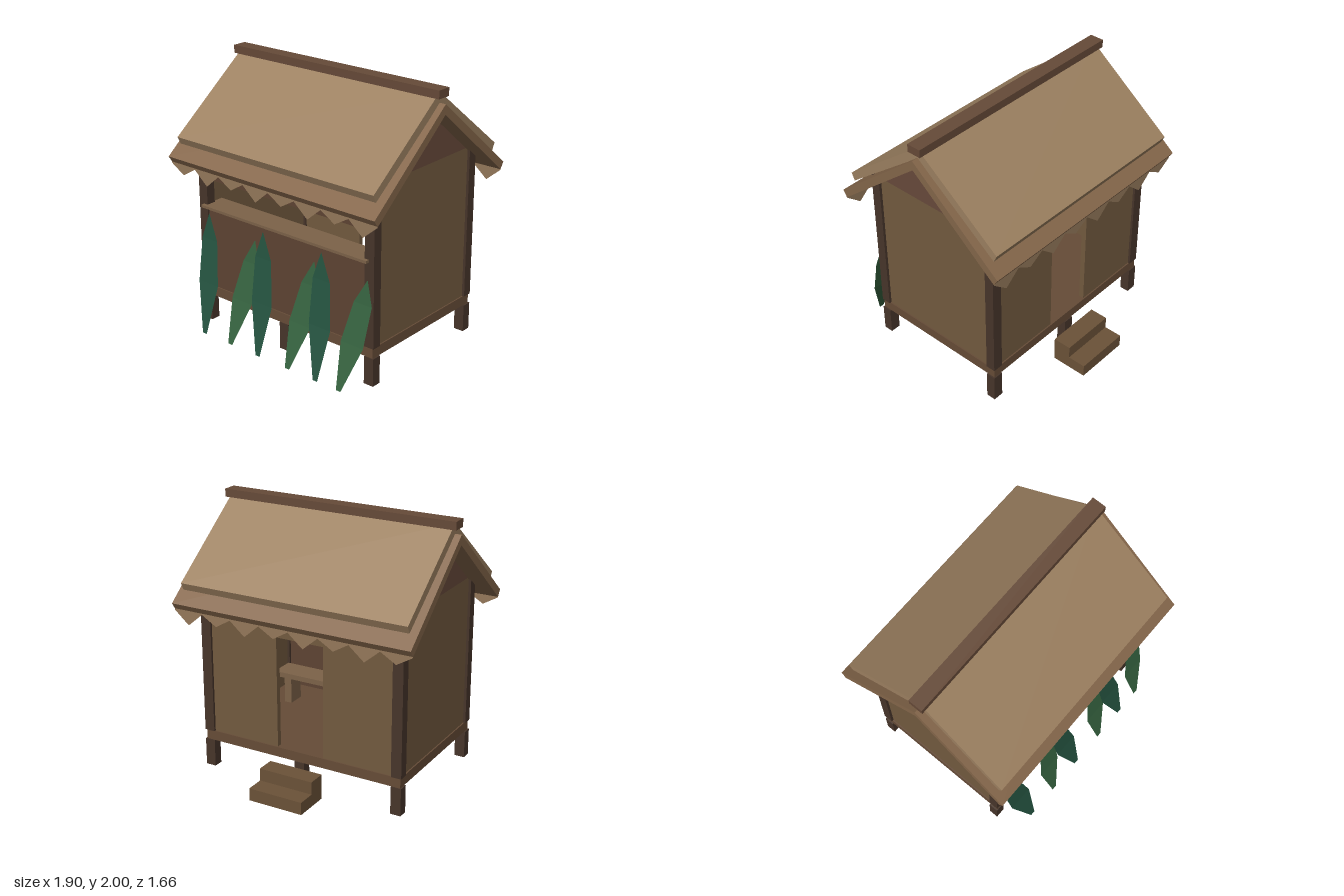
import * as THREE from 'three';

const ZC = 0.067; // centre line of the hut

const mat = (color, extra = {}) => new THREE.MeshStandardMaterial({ color, flatShading: true, ...extra });
const M = {
  thatch: mat(0x9c8060),
  eaves: mat(0x84664a),
  fringe: mat(0x94785a, { side: THREE.DoubleSide }),
  ridge: mat(0x664a38),
  post: mat(0x47352a),
  front: mat(0x5e4433),
  wall: mat(0x725a3f),
  gable: mat(0x684a3b),
  floor: mat(0x664c37),
  plank: mat(0x7c6248),
  step: mat(0x6b5238),
  reedDark: mat(0x24523f, { side: THREE.DoubleSide }),
  reedLight: mat(0x35623f, { side: THREE.DoubleSide }),
};

export function createModel() {
  const hut = new THREE.Group();
  hut.name = 'hut';

  const add = (name, geometry, material) => {
    const mesh = new THREE.Mesh(geometry, material);
    mesh.name = name;
    hut.add(mesh);
    return mesh;
  };
  // Box given by its limits on each axis
  const box = (name, material, [x0, x1], [y0, y1], [z0, z1]) =>
    add(name, new THREE.BoxGeometry(x1 - x0, y1 - y0, z1 - z0), material)
      .position.set((x0 + x1) / 2, (y0 + y1) / 2, (z0 + z1) / 2);
  // Profile in (z, y), measured from the centre line, extruded along x
  const across = (name, material, points, width, x = 0) => {
    const shape = new THREE.Shape(points.map(([z, y]) => new THREE.Vector2(z, y)));
    const g = new THREE.ExtrudeGeometry(shape, { depth: width, bevelEnabled: false });
    g.translate(0, 0, -width / 2).rotateY(-Math.PI / 2);
    add(name, g, material).position.set(x, 0, ZC);
  };

  // Floor, piles and corner posts
  box('floor', M.floor, [-0.81, 0.81], [0.21, 0.285], [-0.495, 0.63]);
  for (const z of [[-0.503, -0.43], [0.562, 0.635]]) {
    for (const x of [-0.78, 0, 0.78]) box('pile', M.post, [x - 0.04, x + 0.04], [0, 0.21], z);
    for (const x of [-0.78, 0.78]) box('cornerPost', M.post, [x - 0.04, x + 0.04], [0.285, 1.46], z);
  }

  // Front wall with viewing slot
  box('frontWall', M.front, [-0.74, 0.74], [0.285, 0.92], [0.58, 0.62]);
  box('frontHeader', M.front, [-0.74, 0.74], [1.13, 1.44], [0.58, 0.62]);
  box('windowSill', M.plank, [-0.775, 0.775], [0.915, 0.935], [0.47, 0.665]);

  // Back wall with doorway
  for (const s of [-1, 1]) {
    const x = [0.19 * s, 0.74 * s].sort((a, b) => a - b);
    box('backWall', M.wall, x, [0.285, 1.44], [-0.485, -0.445]);
  }
  box('doorLintel', M.wall, [-0.19, 0.19], [1.13, 1.44], [-0.485, -0.445]);

  // Side walls and gables
  for (const x of [-0.78, 0.78]) {
    box('sideWall', M.wall, [x - 0.02, x + 0.02], [0.285, 1.44], [-0.43, 0.562]);
    across('gable', M.gable, [[-0.485, 1.44], [0.485, 1.44], [0, 1.83]], 0.04, x);
  }

  // Bench inside
  box('benchSeat', M.plank, [-0.65, 0.65], [0.5, 0.54], [0.2, 0.4]);
  for (const x of [-0.55, 0.55]) box('benchLeg', M.plank, [x - 0.03, x + 0.03], [0.285, 0.5], [0.23, 0.37]);

  // Two roof layers and ridge beam
  const roof = (name, material, width, apex, [z1, y1], [z2, y2], under) => across(name, material,
    [[0, apex], [-z1, y1], [-z2, y2], [0, under], [z2, y2], [z1, y1]], width);
  roof('lowerRoof', M.eaves, 1.9, 1.9, [0.733, 1.305], [0.7, 1.255], 1.827);
  roof('upperRoof', M.thatch, 1.8, 1.975, [0.683, 1.45], [0.657, 1.395], 1.895);
  box('ridgeBeam', M.ridge, [-0.933, 0.933], [1.94, 2], [0.01, 0.12]);

  // Ragged fringe under both eaves
  const fringe = new THREE.Shape();
  const tooth = 1.9 / 8;
  fringe.moveTo(-0.95, 1.27);
  for (let i = 0; i < 8; i++) {
    const x = -0.95 + i * tooth;
    fringe.lineTo(x, 1.25);
    fringe.lineTo(x + tooth / 2, i % 2 ? 1.15 : 1.18);
  }
  fringe.lineTo(0.95, 1.25);
  fringe.lineTo(0.95, 1.27);
  for (const s of [-1, 1]) {
    add('eaveFringe', new THREE.ShapeGeometry(fringe), M.fringe).position.z = ZC + s * 0.703;
  }

  // Entrance steps
  across('entranceSteps', M.step,
    [[-0.897, 0], [-0.617, 0], [-0.617, 0.19], [-0.757, 0.19], [-0.757, 0.095], [-0.897, 0.095]], 0.43);

  // Reed blades leaning against the front: [height, sideways lean, half width, z]
  const blade = [[0, 0, 0.02, 0.83], [0.36, 0.04, 0.097, 0.733], [0.68, 0.08, 0.077, 0.665], [0.87, 0.1, 0.002, 0.64]];
  const reed = (x, lean, scale, material) => {
    const g = new THREE.PlaneGeometry(1, 1, 1, blade.length - 1);
    const p = g.attributes.position;
    blade.forEach(([y, dx, w, z], i) => {
      const row = (blade.length - 1 - i) * 2;
      p.setXYZ(row, x + lean * dx - w, y * scale, z);
      p.setXYZ(row + 1, x + lean * dx + w, y * scale, z);
    });
    g.computeVertexNormals();
    add('reedBlade', g, material);
  };
  for (const x of [-0.62, -0.08, 0.465]) reed(x, -1, 1, M.reedDark);
  for (const x of [-0.355, 0.205, 0.675]) reed(x, 0.95, 0.9, M.reedLight);

  return hut;
}
